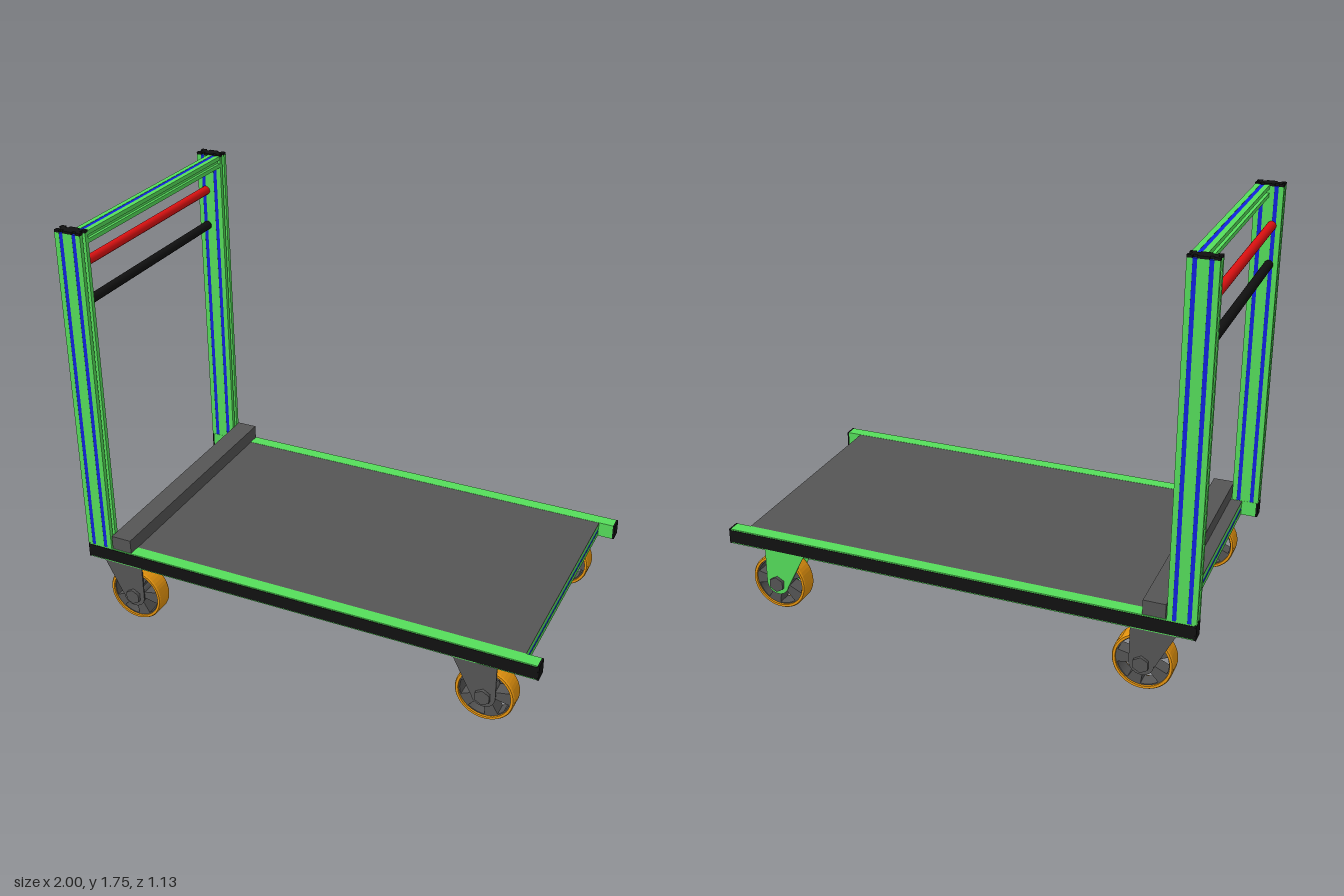
import * as THREE from 'three';

const mat = (color) => new THREE.MeshStandardMaterial({ color });
const green = mat(0x55dd5a), blue = mat(0x1122dd), black = mat(0x111111), grey = mat(0x555555);
const red = mat(0xdd1111), orange = mat(0xe8960f);
const SLOT = 0.008, DEPTH = 0.012; // groove half-width and depth

function add(parent, name, geometry, material, x = 0, y = 0, z = 0) {
  const mesh = new THREE.Mesh(geometry, material);
  mesh.name = name;
  mesh.position.set(x, y, z);
  parent.add(mesh);
  return mesh;
}
const box = (w, h, d) => new THREE.BoxGeometry(w, h, d);

// Grooved aluminium-style section, extruded along z and centred
function grooved(w, h, length, nWide = 1) {
  const pts = [];
  for (let side = 0; side < 4; side++) {
    const wide = side % 2 === 0;
    const L = wide ? w : h, off = (wide ? h : w) / 2, n = wide ? nWide : 1;
    const local = [[-L / 2, off]];
    for (let k = 0; k < n; k++) {
      const c = -L / 2 + (L * (k + 0.5)) / n;
      local.push([c - SLOT, off], [c - SLOT, off - DEPTH], [c + SLOT, off - DEPTH], [c + SLOT, off]);
    }
    const angle = (side * Math.PI) / 2;
    for (const [u, v] of local)
      pts.push(new THREE.Vector2(u, -v).rotateAround(new THREE.Vector2(), angle));
  }
  const geo = new THREE.ExtrudeGeometry(new THREE.Shape(pts), { depth: length, bevelEnabled: false });
  return geo.translate(0, 0, -length / 2);
}

// Wheel, fork and axle; origin at the axle
function makeCaster(forkMaterial) {
  const caster = new THREE.Group();
  caster.name = 'caster';
  const R = 0.122, half = 0.039;
  const tire = new THREE.LatheGeometry([
    [0.108, -half], [R - 0.004, -half], [R, -half + 0.006], [R, half - 0.006],
    [R - 0.004, half], [0.108, half], [0.108, -half],
  ].map(([r, y]) => new THREE.Vector2(r, y)), 48).toNonIndexed();
  tire.computeVertexNormals();
  add(caster, 'tire', tire.rotateX(Math.PI / 2), orange);

  // Five-spoked rim
  const rim = new THREE.Shape().absarc(0, 0, 0.1085, 0, Math.PI * 2);
  for (let i = 0; i < 5; i++) {
    const a = (i * Math.PI * 2) / 5, b = a + (Math.PI * 2) / 5;
    const hole = new THREE.Path();
    hole.absarc(0, 0, 0.103, a + 0.27, b - 0.27, false);
    hole.absarc(0, 0, 0.045, b - 0.36, a + 0.36, true);
    hole.closePath();
    rim.holes.push(hole);
  }
  const rimGeo = new THREE.ExtrudeGeometry(rim, { depth: 0.06, bevelEnabled: false, curveSegments: 16 });
  add(caster, 'rim', rimGeo.translate(0, 0, -0.03), grey);
  add(caster, 'hub', new THREE.CylinderGeometry(0.04, 0.04, 0.08, 24).rotateX(Math.PI / 2), grey);

  // Fork: two tapered cheeks below a mounting plate
  const cheek = new THREE.Shape();
  cheek.moveTo(-0.13, 0.15);
  cheek.lineTo(-0.052, -0.005);
  cheek.absarc(0, 0, 0.05, Math.PI, Math.PI * 2, false);
  cheek.lineTo(0.05, 0.15);
  cheek.closePath();
  for (const s of [-1, 1]) {
    const geo = new THREE.ExtrudeGeometry(cheek, { depth: 0.006, bevelEnabled: false });
    add(caster, 'forkCheek', geo.translate(0, 0, s * 0.048 - 0.003), forkMaterial);
    add(caster, 'axleNut', new THREE.CylinderGeometry(0.034, 0.034, 0.016, 6).rotateX(Math.PI / 2),
      grey, 0, 0, s * 0.057);
  }
  add(caster, 'forkPlate', box(0.18, 0.008, 0.102), forkMaterial, -0.04, 0.15, 0);
  add(caster, 'axle', new THREE.CylinderGeometry(0.014, 0.014, 0.11, 16).rotateX(Math.PI / 2), grey);
  return caster;
}

export function createModel() {
  const cart = new THREE.Group();
  cart.name = 'platformCart';

  // Base: panel, cross beams with blue inserts, deck
  add(cart, 'basePanel', box(1.78, 0.058, 1.01), green, 0, 0.304, 0);
  for (const s of [-1, 1]) {
    add(cart, 'crossBeam', grooved(0.055, 0.06, 1.0), green, s * 0.9025, 0.305, 0);
    add(cart, 'crossBeamInsert', box(0.01, 2 * SLOT, 1.0), blue, s * 0.924, 0.305, 0);
  }
  add(cart, 'deck', box(1.86, 0.005, 1.0), grey, 0, 0.3355, 0);
  add(cart, 'stopBar', box(0.09, 0.062, 1.1), grey, -0.835, 0.369, 0);

  for (const s of [-1, 1]) {
    // Side rail with black outer strip and end caps
    add(cart, 'sideRail', box(1.984, 0.066, 0.054), green, 0, 0.306, s * 0.526);
    add(cart, 'sideStrip', box(1.99, 0.056, 0.004), black, 0, 0.306, s * 0.553);
    for (const e of [-1, 1])
      add(cart, 'railEndCap', box(0.008, 0.066, 0.055), black, e * 0.996, 0.306, s * 0.5265);

    // Handle post with blue inserts on both wide faces and a cap
    const post = add(cart, 'handlePost', grooved(0.115, 0.053, 1.396, 2), green, -0.9425, 1.037, s * 0.5265);
    post.rotation.x = -Math.PI / 2;
    const cap = add(cart, 'postCap', grooved(0.115, 0.053, 0.01, 2), black, -0.9425, 1.74, s * 0.5265);
    cap.rotation.x = -Math.PI / 2;
    for (const gx of [-0.97125, -0.91375])
      for (const f of [-1, 1])
        add(cart, 'postInsert', box(2 * SLOT, 1.396, 0.01), blue, gx, 1.037, s * 0.5265 + f * 0.021);
  }

  // Handle cross members
  add(cart, 'topBeam', grooved(0.058, 0.05, 1.0), green, -0.915, 1.715, 0);
  add(cart, 'topBeamInsert', box(2 * SLOT, 0.01, 1.0), blue, -0.915, 1.734, 0);
  const bar = new THREE.CylinderGeometry(0.019, 0.019, 1.0, 24).rotateX(Math.PI / 2);
  add(cart, 'gripBar', bar, red, -0.963, 1.576, 0);
  add(cart, 'lowerBar', bar, black, -0.963, 1.414, 0);

  // Casters; one has a green fork
  for (const x of [-0.795, 0.785])
    for (const s of [-1, 1]) {
      const caster = makeCaster(x > 0 && s < 0 ? green : grey);
      caster.position.set(x, 0.122, s * 0.498);
      cart.add(caster);
    }
  return cart;
}
